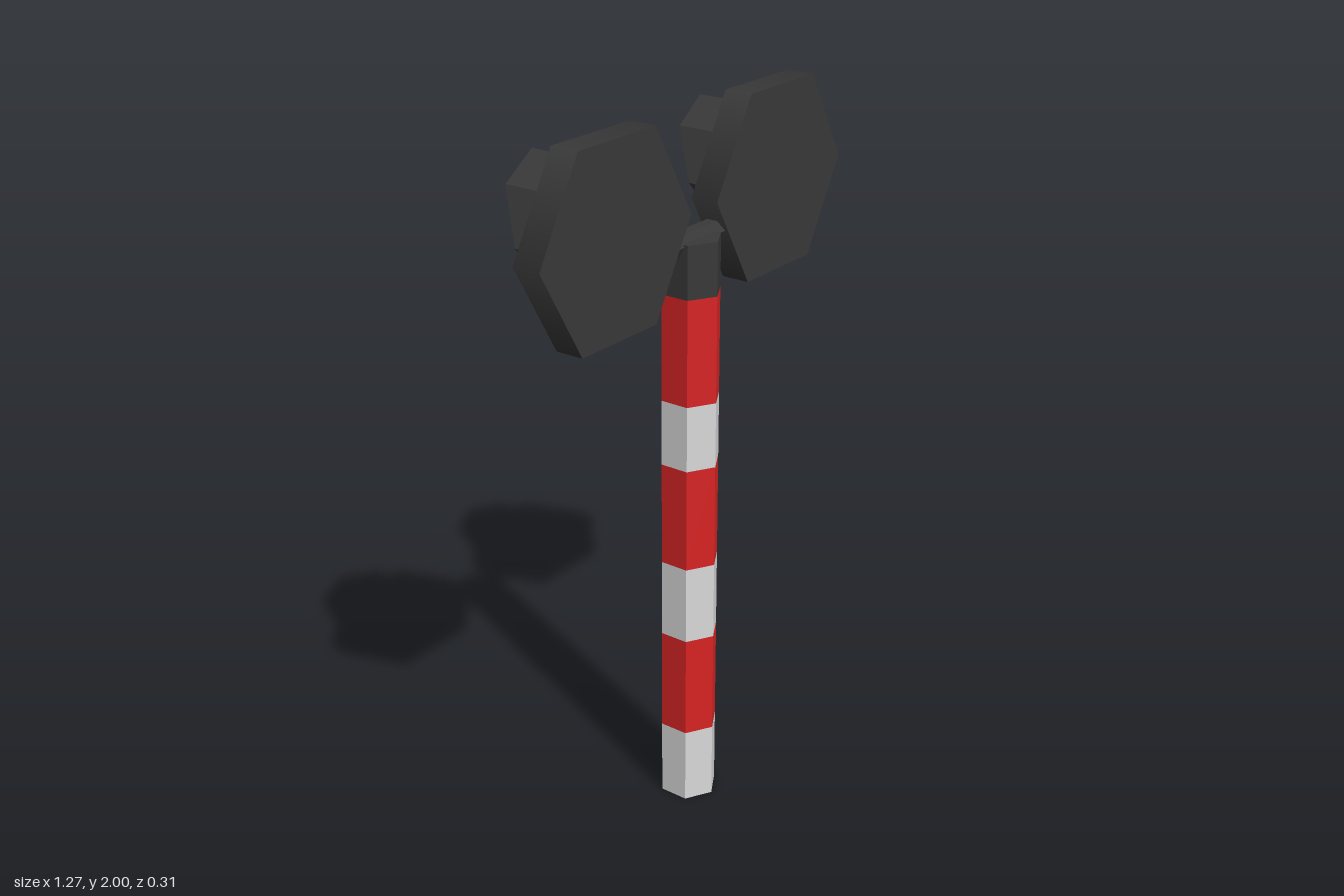
import * as THREE from 'three';

const mat = (name, color) => new THREE.MeshStandardMaterial({ name, color });

// Faceted normals for low-poly parts
function faceted(geometry) {
  const g = geometry.index ? geometry.toNonIndexed() : geometry;
  g.computeVertexNormals();
  return g;
}

function addMesh(parent, name, geometry, material, x = 0, y = 0, z = 0) {
  const mesh = new THREE.Mesh(geometry, material);
  mesh.name = name;
  mesh.position.set(x, y, z);
  parent.add(mesh);
  return mesh;
}

// Octagonal hood with a slanted open end: long at the top, short at the bottom
function visorGeometry() {
  const outer = 0.185, inner = 0.155;
  const profile = [[outer, 0], [outer, 1], [inner, 1], [inner, 0]].map(p => new THREE.Vector2(...p));
  const g = new THREE.LatheGeometry(profile, 8);
  g.rotateX(-Math.PI / 2);
  const p = g.attributes.position;
  for (let i = 0; i < p.count; i++) {
    const rim = p.getZ(i) < -0.5;
    p.setZ(i, rim ? Math.min(0.015, -0.055 - 0.54 * p.getY(i)) : 0.032);
  }
  return faceted(g);
}

export function createModel() {
  const model = new THREE.Group();
  model.name = 'crossingSignal';
  const white = mat('white paint', 0xd9d9d9);
  const red = mat('red paint', 0xd82424);
  const dark = mat('dark metal', 0x393939);
  const lensRed = mat('dark red glass', 0x6a2323);
  const postZ = 0.07;

  // Striped hexagonal post
  const post = new THREE.Group();
  post.name = 'post';
  model.add(post);
  const levels = [0, 0.225, 0.525, 0.75, 1.045, 1.23, 1.525, 1.67];
  for (let i = 0; i < levels.length - 1; i++) {
    const h = levels[i + 1] - levels[i];
    const cap = i === levels.length - 2;
    const open = i > 0 && !cap;
    addMesh(post, cap ? 'postCap' : `postBand${i + 1}`,
      faceted(new THREE.CylinderGeometry(0.083, 0.083, h, 6, 1, open)),
      cap ? dark : i % 2 ? red : white, 0, levels[i] + h / 2, postZ);
  }

  // Crossbar carrying both lamps
  const bar = new THREE.CylinderGeometry(0.031, 0.031, 0.36, 6);
  bar.rotateZ(Math.PI / 2);
  addMesh(model, 'crossbar', faceted(bar), dark, 0, 1.663, postZ);

  // Lamp parts
  const plate = new THREE.CylinderGeometry(0.289, 0.289, 0.08, 6, 1, false, Math.PI / 2);
  plate.rotateX(Math.PI / 2);
  const visor = visorGeometry();
  const lens = new THREE.SphereGeometry(0.15, 8, 4);
  lens.scale(1, 1, 0.76);
  const lensFaces = faceted(lens);
  // Keep the rear of the lens inside the backing plate
  const p = lensFaces.attributes.position;
  for (let i = 0; i < p.count; i++) p.setZ(i, Math.min(p.getZ(i), 0.05));
  lensFaces.computeVertexNormals();

  for (const side of [1, -1]) {
    const lamp = new THREE.Group();
    lamp.name = side > 0 ? 'leftLamp' : 'rightLamp';
    lamp.position.set(side * 0.344, 1.75, 0);
    model.add(lamp);
    addMesh(lamp, 'backingPlate', plate, dark, 0, 0, postZ);
    addMesh(lamp, 'visor', visor, dark);
    addMesh(lamp, 'lens', lensFaces, lensRed);
  }
  return model;
}
